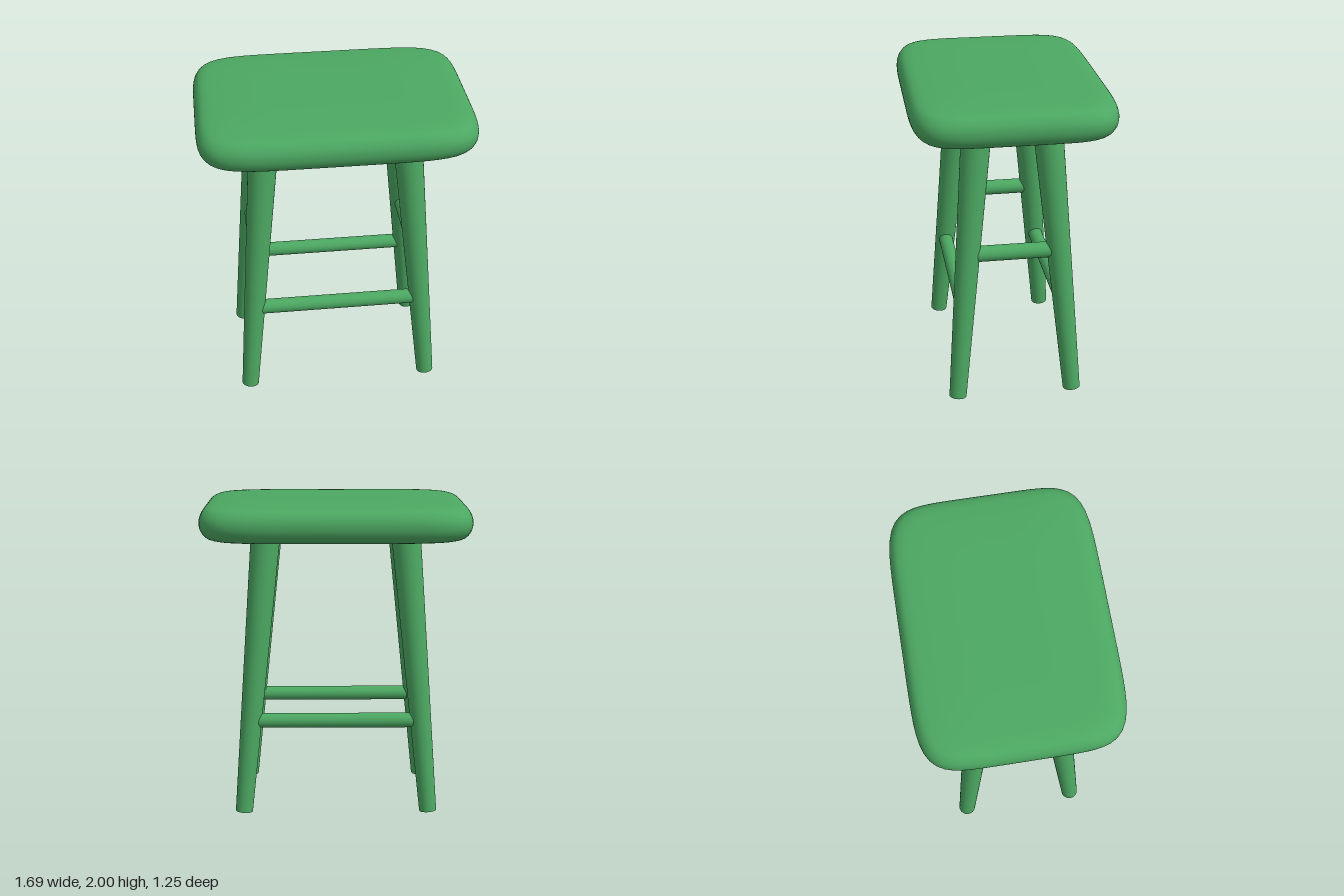
import * as THREE from 'three';

const green = new THREE.MeshStandardMaterial({ color: 0x4ca862 });
green.name = 'green';

// Tapered round bar between two points
function bar(name, from, to, rFrom, rTo = rFrom) {
  const a = new THREE.Vector3(...from), b = new THREE.Vector3(...to);
  const dir = b.clone().sub(a);
  const mesh = new THREE.Mesh(new THREE.CylinderGeometry(rTo, rFrom, dir.length(), 32), green);
  mesh.position.copy(a).add(b).multiplyScalar(0.5);
  mesh.quaternion.setFromUnitVectors(new THREE.Vector3(0, 1, 0), dir.normalize());
  mesh.name = name;
  return mesh;
}

// Pillow-shaped seat: superellipse rings stacked along a rounded edge profile
function seatGeometry() {
  const halfX = 0.845, halfZ = 0.623, power = 6.2, sides = 112;
  const edge = [[0.5, 0.125], [0.36, 0.123], [0.2, 0.115], [0.11, 0.107], [0.065, 0.098],
    [0.035, 0.083], [0.014, 0.056], [0.003, 0.028]]; // inset, height above the middle
  const points = [...edge, [0, 0], ...edge.slice().reverse().map(([i, h]) => [i, -h])]
    .map(([i, h]) => new THREE.Vector2(i, h));
  const rings = new THREE.SplineCurve(points).getPoints(48);
  const pos = [], index = [];
  for (const { x: inset, y } of rings) {
    const a = halfX - Math.max(inset, 0), b = halfZ - Math.max(inset, 0);
    for (let s = 0; s < sides; s++) {
      const t = (s / sides) * Math.PI * 2;
      const c = Math.cos(t), d = Math.sin(t);
      const r = Math.pow(Math.abs(c) ** power + Math.abs(d) ** power, -1 / power);
      pos.push(a * r * c, y, b * r * d);
    }
  }
  for (let k = 0; k < rings.length - 1; k++) {
    for (let s = 0; s < sides; s++) {
      const n = (s + 1) % sides;
      const p = k * sides + s, q = k * sides + n;
      index.push(p, q, p + sides, q, q + sides, p + sides);
    }
  }
  // Close the top and bottom
  const top = pos.length / 3, bottom = top + 1, last = (rings.length - 1) * sides;
  pos.push(0, 0.125, 0, 0, -0.125, 0);
  for (let s = 0; s < sides; s++) {
    const n = (s + 1) % sides;
    index.push(top, n, s, bottom, last + s, last + n);
  }
  const geo = new THREE.BufferGeometry();
  geo.setAttribute('position', new THREE.Float32BufferAttribute(pos, 3));
  geo.setIndex(index);
  geo.computeVertexNormals();
  return geo;
}

export function createModel() {
  const model = new THREE.Group();
  model.name = 'stool';

  const seat = new THREE.Mesh(seatGeometry(), green);
  seat.name = 'seat';
  seat.position.y = 1.875;
  model.add(seat);

  // Splayed legs, thicker at the top
  for (const [sx, side] of [[1, 'Left'], [-1, 'Right']]) {
    for (const [sz, end] of [[1, 'front'], [-1, 'back']]) {
      model.add(bar(`${end}${side}Leg`, [sx * 0.593, 0.007, sz * 0.371],
        [sx * 0.433, 1.85, sz * 0.209], 0.055, 0.094));
    }
  }

  // Low stretchers at front and back, higher ones at the sides
  for (const s of [1, -1]) {
    model.add(bar(s > 0 ? 'frontStretcher' : 'backStretcher',
      [-0.54, 0.6, s * 0.319], [0.54, 0.6, s * 0.319], 0.047));
    model.add(bar(s > 0 ? 'leftStretcher' : 'rightStretcher',
      [s * 0.509, 0.97, -0.286], [s * 0.509, 0.97, 0.286], 0.05));
  }
  return model;
}
